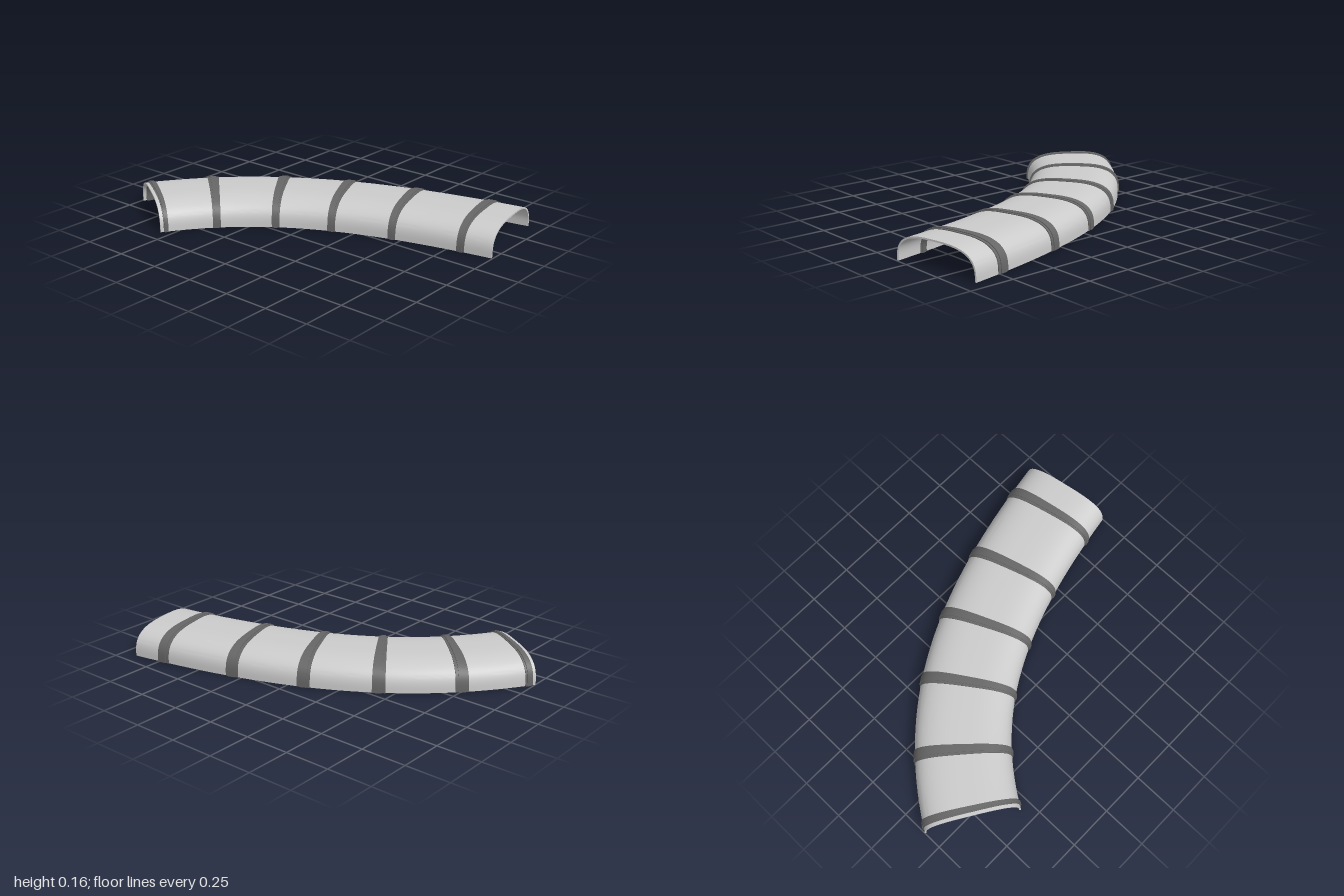
import * as THREE from 'three';
import { toCreasedNormals } from 'three/addons/utils/BufferGeometryUtils.js';

const HALF_WIDTH = 0.26, HEIGHT = 0.153, THICKNESS = 0.009;

// Centre line of the curved tunnel on the ground
const path = new THREE.CubicBezierCurve3(
  new THREE.Vector3(-0.78, 0, 0.532),
  new THREE.Vector3(-0.438, 0, -0.015),
  new THREE.Vector3(0.079, 0, -0.278),
  new THREE.Vector3(0.952, 0, -0.422)
);

// Bends a box into an arched shell: x runs over the arch, y through the
// thickness and z along the path. place(z, side) gives { t, shift }.
function archGeometry(outer, inner, lengthSegments, place) {
  const geometry = new THREE.BoxGeometry(1, 1, 1, 48, 1, lengthSegments);
  const pos = geometry.attributes.position;
  for (let i = 0; i < pos.count; i++) {
    const angle = Math.PI * (0.5 - pos.getX(i));
    const offset = pos.getY(i) > 0 ? outer : inner;
    const c = Math.cos(angle), s = Math.max(0, Math.sin(angle));
    const side = Math.sign(c) * Math.abs(c) ** (2 / 3);
    const lateral = side * (HALF_WIDTH + offset);
    const y = s < 1e-6 ? 0 : s ** (2 / 3) * (HEIGHT + offset);
    const { t, shift } = place(pos.getZ(i), side);
    const p = path.getPoint(t), d = path.getTangent(t);
    pos.setXYZ(i, p.x + d.z * lateral + d.x * shift, y, p.z - d.x * lateral + d.z * shift);
  }
  geometry.deleteAttribute('uv');
  return toCreasedNormals(geometry, 0.6);
}

export function createModel() {
  const group = new THREE.Group();
  const shellMaterial = new THREE.MeshStandardMaterial({ color: 0xcccccc });
  const bandMaterial = new THREE.MeshStandardMaterial({ color: 0x666666 });

  const add = (name, geometry, material, parent) => {
    const mesh = new THREE.Mesh(geometry, material);
    mesh.name = name;
    parent.add(mesh);
  };

  // Thin arched roof
  add('tunnelShell',
    archGeometry(0, -THICKNESS, 60, z => ({ t: z + 0.5, shift: 0 })),
    shellMaterial, group);

  // Ribs, wider on the outside of the bend; the end rib is narrower
  const ribs = [0.018, 0.19, 0.396, 0.58, 0.757, 0.93];
  ribs.forEach((t, i) => {
    const rib = new THREE.Group();
    rib.name = `rib${i + 1}`;
    const scale = i === 0 ? 0.6 : 1;
    const strip = (width, rise) => archGeometry(rise, -THICKNESS - rise, 1,
      (z, side) => ({ t, shift: z * width * scale * (1 + 0.25 * side) }));
    add('ribBand', strip(0.056, 0.004), bandMaterial, rib);
    add('ribRidge', strip(0.03, 0.008), bandMaterial, rib);
    group.add(rib);
  });

  return group;
}
